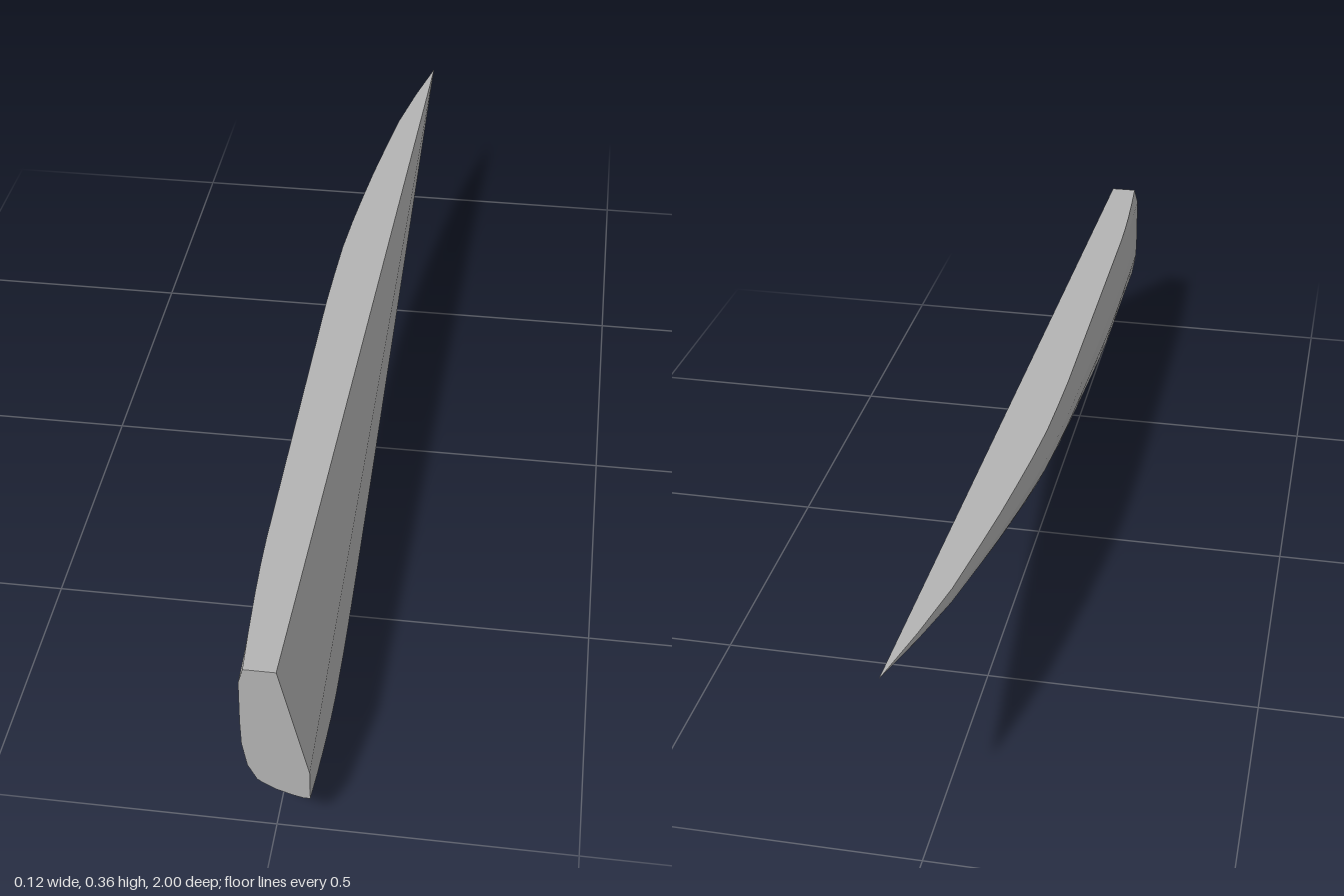
import * as THREE from 'three';

const TOP = 0.36, SIDE = 0.057;

// Curved outer side [x, y], keel to top edge: full section and narrower front end
const MAIN = [[.057, 0], [.045, .008], [.025, .024], [.005, .047], [-.02, .09], [-.03, .108],
  [-.043, .14], [-.055, .19], [-.059, .24], [-.059, .33], [-.059, TOP]];
const FRONT = [[.057, .073], [.046, .073], [.03, .077], [0, .088], [-.02, .1], [-.03, .108],
  [-.045, .14], [-.053, .19], [-.054, .24], [-.053, .33], [-.045, TOP]];

// Stations from front to tip: [z, keel height, width]
const STATIONS = [[1, .073, .116], [.92, .045, .116], [.83, .02, .116], [.76, .006, .116],
  [.7, 0, .116], [.6, .005, .116], [.5, .02, .116], [.4, .04, .116], [.2, .083, .116],
  [0, .13, .116], [-.1, .153, .114], [-.2, .176, .111], [-.3, .199, .104], [-.4, .222, .095],
  [-.5, .245, .085], [-.6, .268, .073], [-.74, .3, .055], [-.87, .33, .03], [-1, TOP, 0]];

function section([z, keel, width]) {
  const blend = z > 0.7 ? keel / 0.073 : 0;
  const sx = width / 0.116, sy = z > 0.7 ? 1 : (TOP - keel) / TOP;
  const ring = MAIN.map(([x, y], i) => {
    const px = x + (FRONT[i][0] - x) * blend;
    const py = y + (FRONT[i][1] - y) * blend;
    return new THREE.Vector3(SIDE - (SIDE - px) * sx, TOP - (TOP - py) * sy, z);
  });
  // slanted inner face tapers away towards the tip
  const t = (z + 1) / 2;
  ring.push(new THREE.Vector3(SIDE - 0.049 * t, TOP, z));
  ring.push(new THREE.Vector3(SIDE, TOP - 0.225 * t, z));
  ring.push(ring[0].clone());
  return ring;
}

function meshFrom(name, triangles, material) {
  const solid = triangles.filter(([a, b, c]) => new THREE.Triangle(a, b, c).getArea() > 1e-8);
  const geometry = new THREE.BufferGeometry().setFromPoints(solid.flat());
  geometry.computeVertexNormals();
  const mesh = new THREE.Mesh(geometry, material);
  mesh.name = name;
  return mesh;
}

export function createModel() {
  const group = new THREE.Group();
  group.name = 'taperedBlade';
  const grey = new THREE.MeshStandardMaterial({ color: 0xb4b4b4 });
  grey.name = 'plain grey';
  const rings = STATIONS.map(section);

  // Strip of the loft between two points of the section
  function loft(name, from, to) {
    const triangles = [];
    for (let s = 0; s < rings.length - 1; s++) {
      const a = rings[s], b = rings[s + 1];
      for (let i = from; i < to; i++) {
        triangles.push([a[i], a[i + 1], b[i]], [a[i + 1], b[i + 1], b[i]]);
      }
    }
    group.add(meshFrom(name, triangles, grey));
  }
  const n = MAIN.length;
  loft('curvedOuterSide', 0, n - 1);
  loft('topFace', n - 1, n);
  loft('slantedInnerFace', n, n + 1);
  loft('flatInnerFace', n + 1, n + 2);

  // Flat front end, fanned from its middle
  const centre = new THREE.Vector3(0, 0.22, 1);
  const front = rings[0];
  const cap = front.slice(0, -1).map((p, i) => [centre, front[i + 1], p]);
  group.add(meshFrom('frontEnd', cap, grey));
  return group;
}
